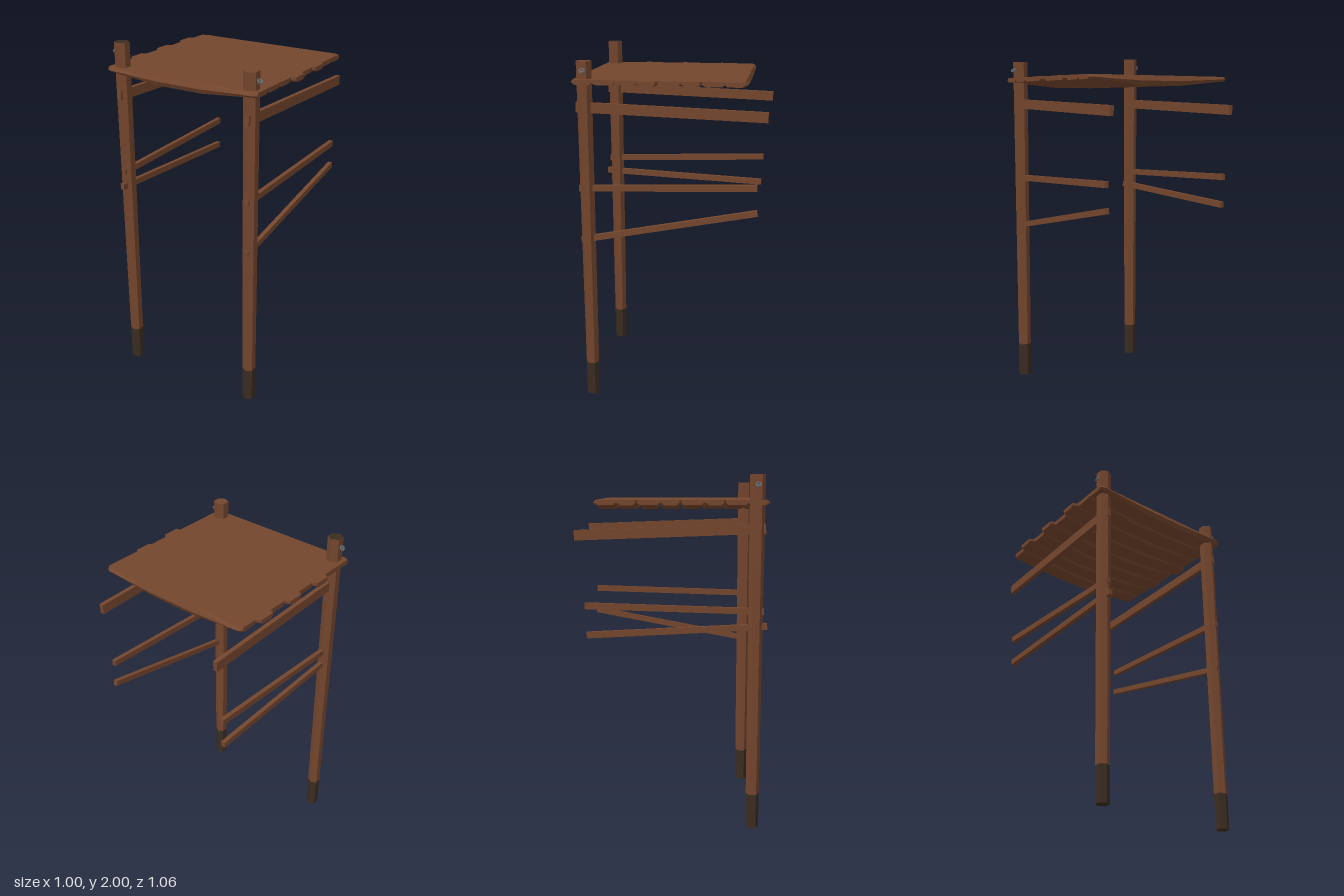
import * as THREE from 'three';

const wood = new THREE.MeshStandardMaterial({ color: 0x74462d, flatShading: true });
wood.name = 'brown wood';
const darkWood = new THREE.MeshStandardMaterial({ color: 0x3a2c21, flatShading: true });
darkWood.name = 'dark wood';
const metal = new THREE.MeshStandardMaterial({ color: 0x686d72, flatShading: true });
metal.name = 'grey metal';

const POST_X = 0.41, POST_Z = 0.465, TOP = 1.865;

function add(parent, name, geometry, material, x = 0, y = 0, z = 0) {
  const mesh = new THREE.Mesh(geometry, material);
  mesh.name = name;
  mesh.position.set(x, y, z);
  parent.add(mesh);
  return mesh;
}

// Skin a list of x-facing cross-sections and close both ends
function loft(sections) {
  const pos = [];
  const tri = (...pts) => pts.forEach((p) => pos.push(...p));
  const n = sections[0].length, last = sections[sections.length - 1];
  for (let i = 0; i < sections.length - 1; i++) {
    for (let j = 0; j < n; j++) {
      const k = (j + 1) % n, s = sections[i], t = sections[i + 1];
      tri(s[j], s[k], t[k]);
      tri(s[j], t[k], t[j]);
    }
  }
  for (let j = 1; j < n - 1; j++) {
    tri(last[0], last[j], last[j + 1]);
    tri(sections[0][0], sections[0][j + 1], sections[0][j]);
  }
  const g = new THREE.BufferGeometry();
  g.setAttribute('position', new THREE.Float32BufferAttribute(pos, 3));
  g.computeVertexNormals();
  return g;
}

// Flat-topped plank with a bowed, chamfered underside
function plankGeometry(zf, zb, xl, xr, isFront, isBack) {
  const section = (x, endInset) => {
    const bow = THREE.MathUtils.clamp((Math.abs(x) - 0.14) / 0.3, 0, 1);
    const bottom = 1.81 + 0.028 * bow, mid = (TOP + bottom) / 2 - 0.002;
    const f = zf - endInset.f, b = zb + endInset.b, c = 0.014;
    return [
      [x, TOP, f - (isFront ? 0.013 : 0)], [x, mid, f], [x, bottom, f - c],
      [x, bottom, b + c], [x, mid, b], [x, TOP, b + (isBack ? 0.013 : 0)],
    ];
  };
  const inset = (x) => {
    const tab = Math.abs(x) > 0.48 ? 0.012 : 0;
    return { f: isFront ? 0.014 : tab, b: isBack ? 0.014 : tab };
  };
  const none = { f: 0, b: 0 };
  return loft([
    section(xl, inset(xl)), section(xl + 0.025, none), section(-0.44, none),
    section(-0.14, none), section(0.14, none), section(0.44, none),
    section(xr - 0.025, none), section(xr, inset(xr)),
  ]);
}

// Square bar running from its front end to its back end
function beam(parent, name, x, [z0, y0], [z1, y1], height) {
  const g = new THREE.BoxGeometry(0.025, height, Math.hypot(z0 - z1, y0 - y1));
  const mesh = add(parent, name, g, wood, x, (y0 + y1) / 2, (z0 + z1) / 2);
  mesh.rotation.x = -Math.atan2(y0 - y1, z0 - z1);
}

function post(side, height, topMaterial) {
  const group = new THREE.Group();
  group.name = side > 0 ? 'leftPost' : 'rightPost';
  group.position.set(side * POST_X, 0, POST_Z);
  add(group, 'foot', new THREE.CylinderGeometry(0.0375, 0.037, 0.2, 6), darkWood, 0, 0.1, 0);
  const shaft = new THREE.CylinderGeometry(0.043, 0.0375, height - 0.2, 6);
  add(group, 'shaft', shaft, [wood, topMaterial, wood], 0, (height + 0.2) / 2, 0);
  return group;
}

// Small tilted eye bolt on the outside of a post
function hook(side, y, tilt) {
  const group = new THREE.Group();
  group.name = side > 0 ? 'leftHook' : 'rightHook';
  group.position.set(side * 0.458, y, POST_Z);
  group.rotation.z = tilt;
  const shank = add(group, 'shank', new THREE.CylinderGeometry(0.005, 0.005, 0.04, 6), metal, -side * 0.02);
  shank.rotation.z = Math.PI / 2;
  const ring = add(group, 'ring', new THREE.TorusGeometry(0.014, 0.0045, 5, 8), metal);
  ring.rotation.y = Math.PI / 2;
  return group;
}

export function createModel() {
  const model = new THREE.Group();
  model.name = 'plankCanopy';

  // Posts
  model.add(post(-1, 2, darkWood), post(1, 1.96, wood));
  model.add(hook(-1, 1.947, -0.6), hook(1, 1.912, -0.6 + Math.PI / 2 * 0.9));

  // Roof planks, from front to back, some with longer ends
  const roof = new THREE.Group();
  roof.name = 'roof';
  const edges = [0.53, 0.41, 0.29, 0.173, 0.054, -0.064, -0.182, -0.3, -0.42];
  const longRightEnd = [2, 4, 6];
  const leftEnds = { 3: 0.498, 5: 0.488 };
  for (let i = 0; i < 8; i++) {
    const xl = longRightEnd.includes(i) ? -0.5 : -0.474;
    const xr = leftEnds[i] ?? 0.473;
    add(roof, 'plank', plankGeometry(edges[i], edges[i + 1], xl, xr, i === 0, i === 7), wood);
  }
  model.add(roof);

  // Side bars passing through the posts
  for (const x of [-POST_X + 0.002, POST_X + 0.002]) {
    beam(model, 'roofBeam', x, [0.513, 1.711], [-0.53, 1.675], 0.056);
    beam(model, 'upperRail', x, [0.51, 1.256], [-0.48, 1.288], 0.035);
  }
  beam(model, 'rightLowerRail', -POST_X + 0.002, [0.53, 1.172], [-0.47, 1.124], 0.035);
  beam(model, 'leftBrace', POST_X + 0.002, [0.505, 0.955], [-0.485, 1.147], 0.033);

  return model;
}
